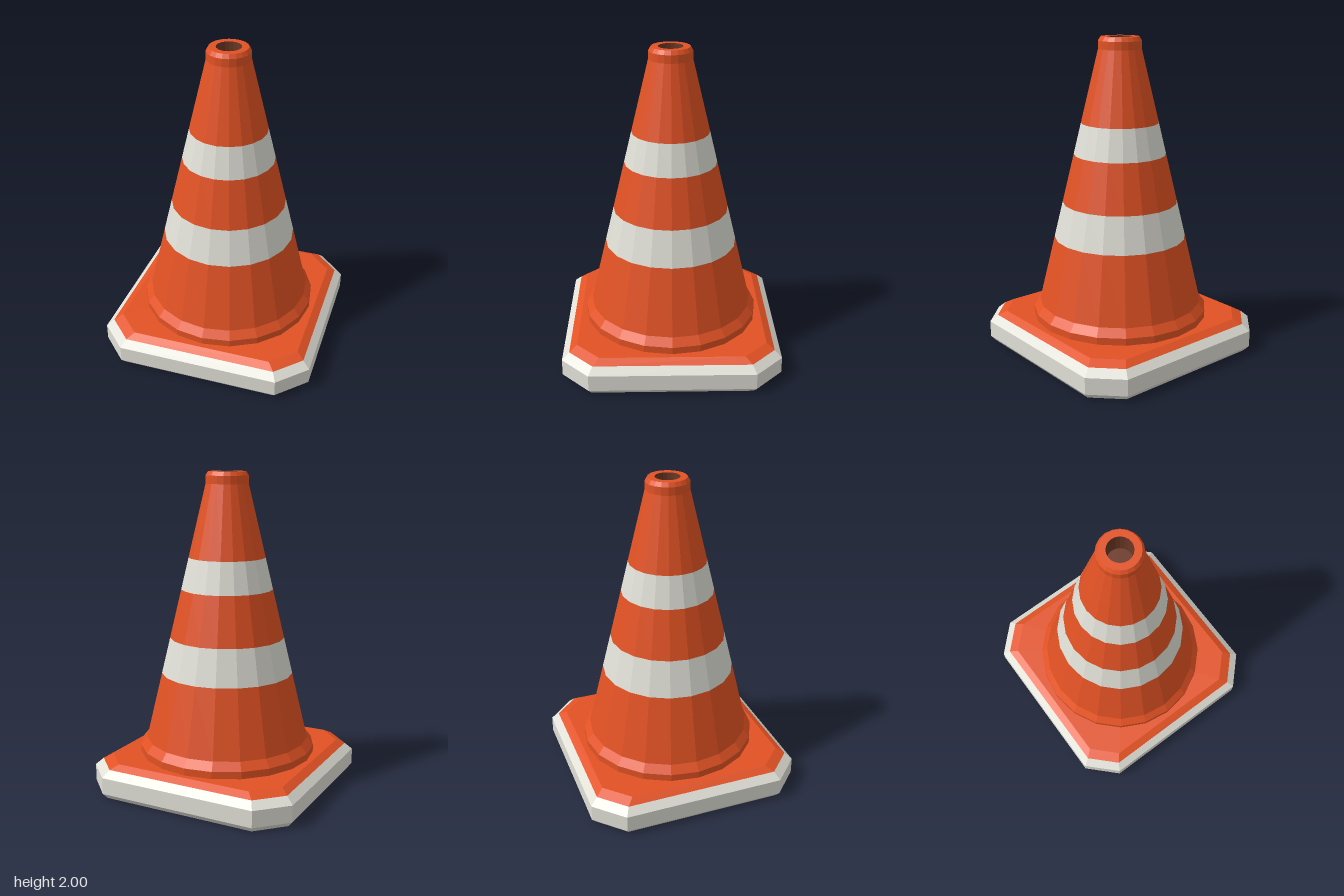
import * as THREE from 'three';

const SIDES = 20;

function material(name, color) {
  const m = new THREE.MeshStandardMaterial({ color, flatShading: true });
  m.name = name;
  return m;
}

// Solid of revolution from [radius, y] pairs
function lathe(name, profile, mat) {
  const points = profile.map(([r, y]) => new THREE.Vector2(r, y));
  const mesh = new THREE.Mesh(new THREE.LatheGeometry(points, SIDES), mat);
  mesh.name = name;
  return mesh;
}

// Stack of corner-cut squares: each ring is [half width, half edge length, y]
function cutSquareStack(name, rings, mat, capBottom, capTop) {
  const loops = rings.map(([h, c, y]) =>
    [[c, h], [h, c], [h, -c], [c, -h], [-c, -h], [-h, -c], [-h, c], [-c, h]].map(([x, z]) => [x, y, z]));
  const pos = [];
  const tri = (...corners) => corners.forEach((p) => pos.push(...p));
  for (let i = 0; i < 8; i++) {
    const j = (i + 1) % 8;
    for (let k = 0; k + 1 < loops.length; k++) {
      const lo = loops[k], hi = loops[k + 1];
      tri(lo[i], lo[j], hi[j]);
      tri(lo[i], hi[j], hi[i]);
    }
    const first = loops[0], last = loops[loops.length - 1];
    if (capBottom) tri([0, first[0][1], 0], first[j], first[i]);
    if (capTop) tri([0, last[0][1], 0], last[i], last[j]);
  }
  const geo = new THREE.BufferGeometry();
  geo.setAttribute('position', new THREE.Float32BufferAttribute(pos, 3));
  geo.computeVertexNormals();
  const mesh = new THREE.Mesh(geo, mat);
  mesh.name = name;
  return mesh;
}

export function createModel() {
  const orange = material('orange', 0xe25224);
  const white = material('off white', 0xe1e0d7);
  const dark = material('dark brown', 0x6b3826);
  const group = new THREE.Group();
  group.name = 'trafficCone';

  // Base: white edge with an orange top plate
  group.add(cutSquareStack('baseEdge',
    [[0.66, 0.5, 0], [0.69, 0.515, 0.035], [0.69, 0.515, 0.14], [0.645, 0.49, 0.182]], white, true, false));
  group.add(cutSquareStack('baseTop', [[0.645, 0.49, 0.182], [0.597, 0.45, 0.21]], orange, false, true));

  // Radius of the tapered body at a given height
  const radius = (y) => THREE.MathUtils.mapLinear(y, 0.305, 1.925, 0.525, 0.135);
  const at = (y) => [radius(y), y];

  // Flared foot and body, split at the reflective bands
  group.add(lathe('foot', [[0.565, 0.21], [0.565, 0.255], at(0.305)], orange));
  const levels = [0.305, 0.73, 0.96, 1.27, 1.47, 1.925];
  for (let i = 0; i + 1 < levels.length; i++) {
    const band = i % 2 === 1;
    group.add(lathe(band ? 'reflectiveBand' : 'body', [at(levels[i]), at(levels[i + 1])], band ? white : orange));
  }

  // Collar with a flat rim around the opening
  group.add(lathe('collar', [[0.135, 1.925], [0.135, 1.975], [0.12, 2], [0.077, 2]], orange));
  group.add(lathe('opening', [[0.077, 2], [0.077, 1.85], [0, 1.85]], dark));
  return group;
}
